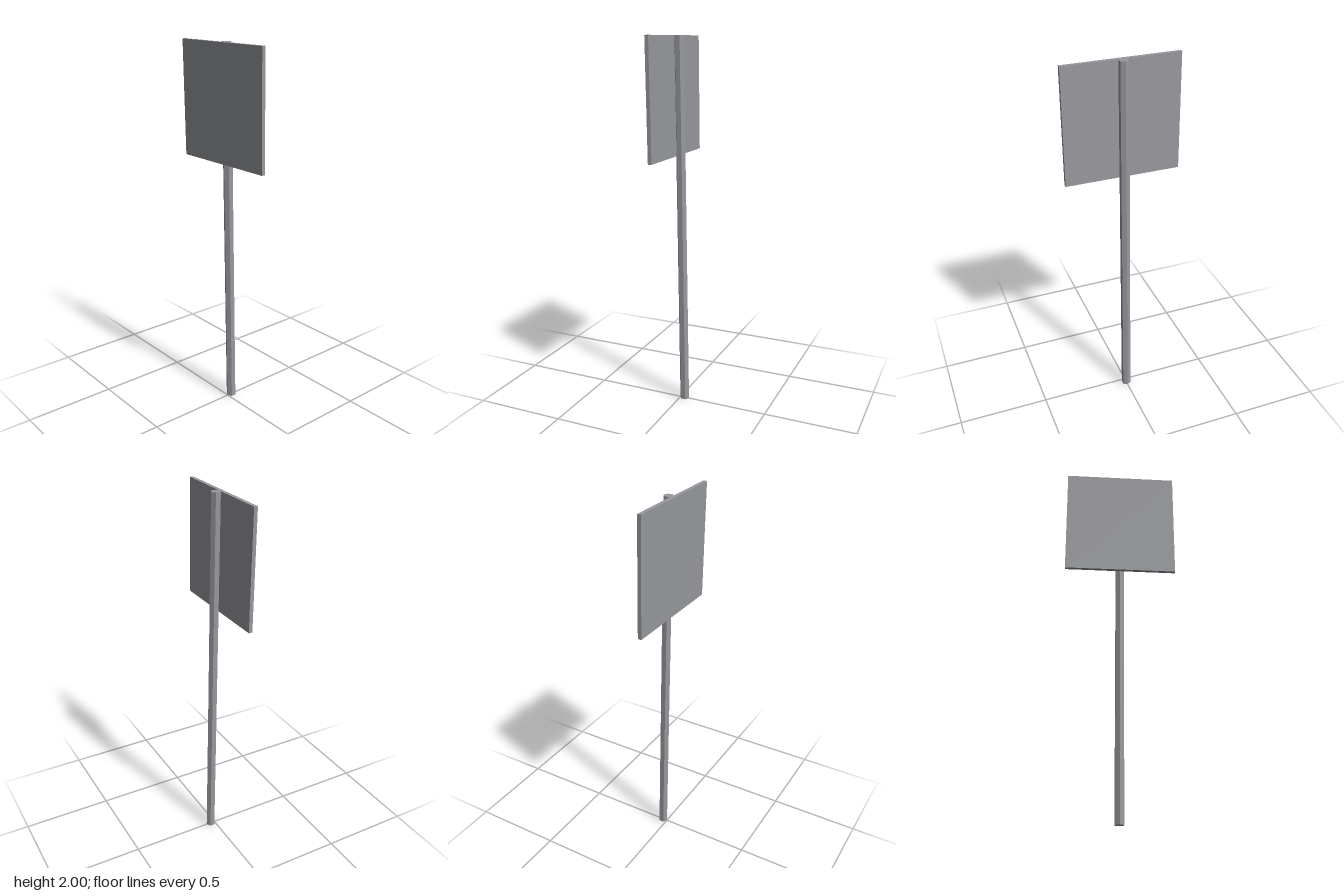
import * as THREE from 'three';

export function createModel() {
  const model = new THREE.Group();
  model.name = 'signpost';

  const steel = new THREE.MeshStandardMaterial({ color: 0x98999e, flatShading: true });
  steel.name = 'grey steel';

  const poleLength = 1.999;
  const panelSize = 0.614;

  // Post and panel lean forward together by one degree
  const leaning = new THREE.Group();
  leaning.name = 'leaningSign';
  leaning.position.set(0, 1, -0.008);
  leaning.rotation.x = THREE.MathUtils.degToRad(1);
  model.add(leaning);

  // Six-sided post with a corner pointing forward
  const pole = new THREE.Mesh(new THREE.CylinderGeometry(0.0265, 0.0265, poleLength, 6), steel);
  pole.name = 'pole';
  leaning.add(pole);

  // Square panel, flush with the top of the post
  const panel = new THREE.Mesh(new THREE.BoxGeometry(panelSize, panelSize, 0.02), steel);
  panel.name = 'signPanel';
  panel.position.set(0, poleLength / 2 - panelSize / 2, 0.0305);
  leaning.add(panel);

  return model;
}
